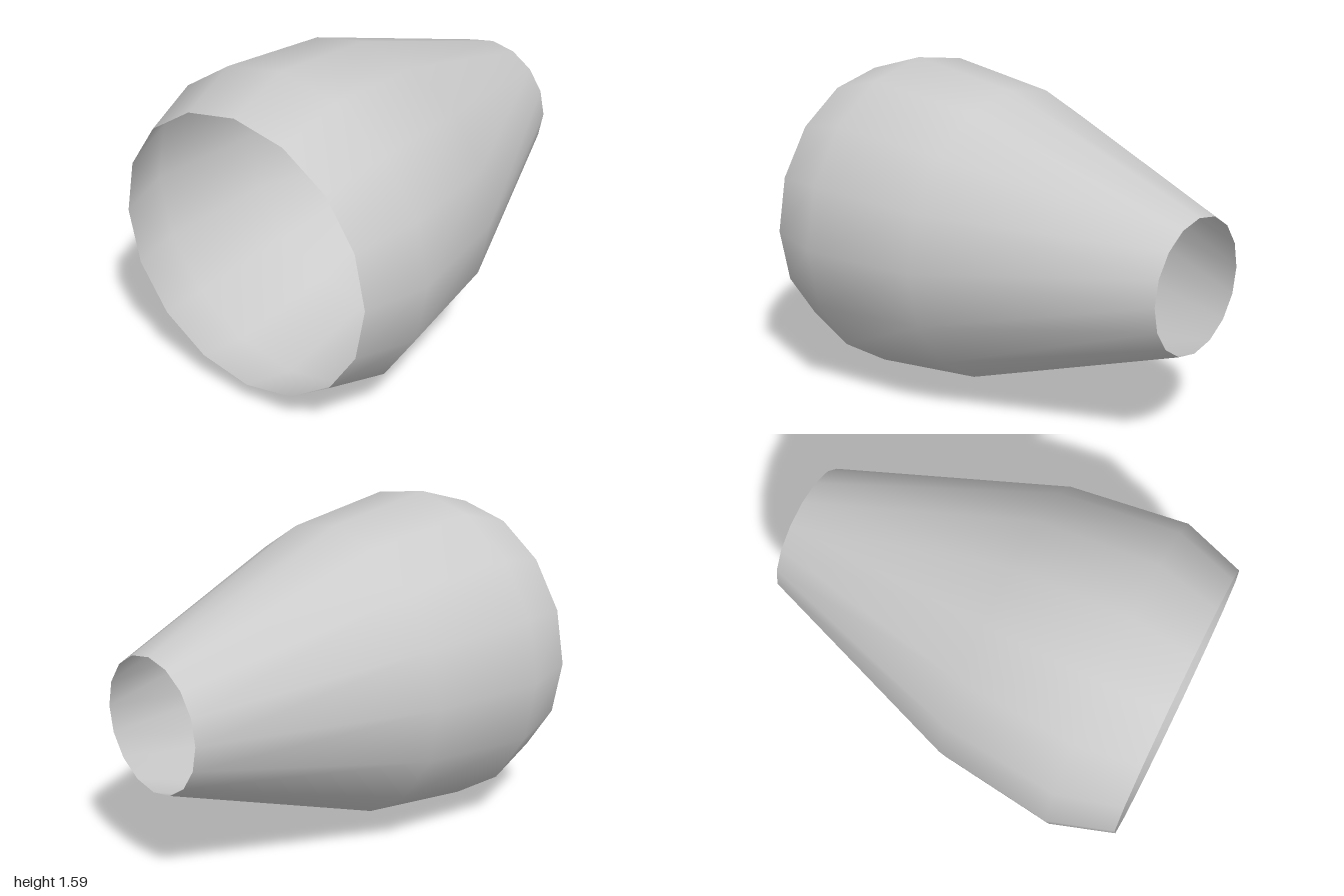
import * as THREE from 'three';

export function createModel() {
  const group = new THREE.Group();
  group.name = 'taperedShell';

  // Profile along the axis: [radius, x position]
  const profile = [
    [0.695, -1],
    [0.797, -0.69],
    [0.725, -0.1],
    [0.327, 1],
  ].map(([r, x]) => new THREE.Vector2(r, x));

  // Open sixteen-sided sleeve, wide mouth at -x, narrow mouth at +x
  const geometry = new THREE.LatheGeometry(profile, 16);
  geometry.rotateZ(-Math.PI / 2);
  geometry.translate(0, 0.797, 0);

  const material = new THREE.MeshStandardMaterial({ color: 0xcccccc, side: THREE.DoubleSide });
  const sleeve = new THREE.Mesh(geometry, material);
  sleeve.name = 'sleeve';
  group.add(sleeve);
  return group;
}
